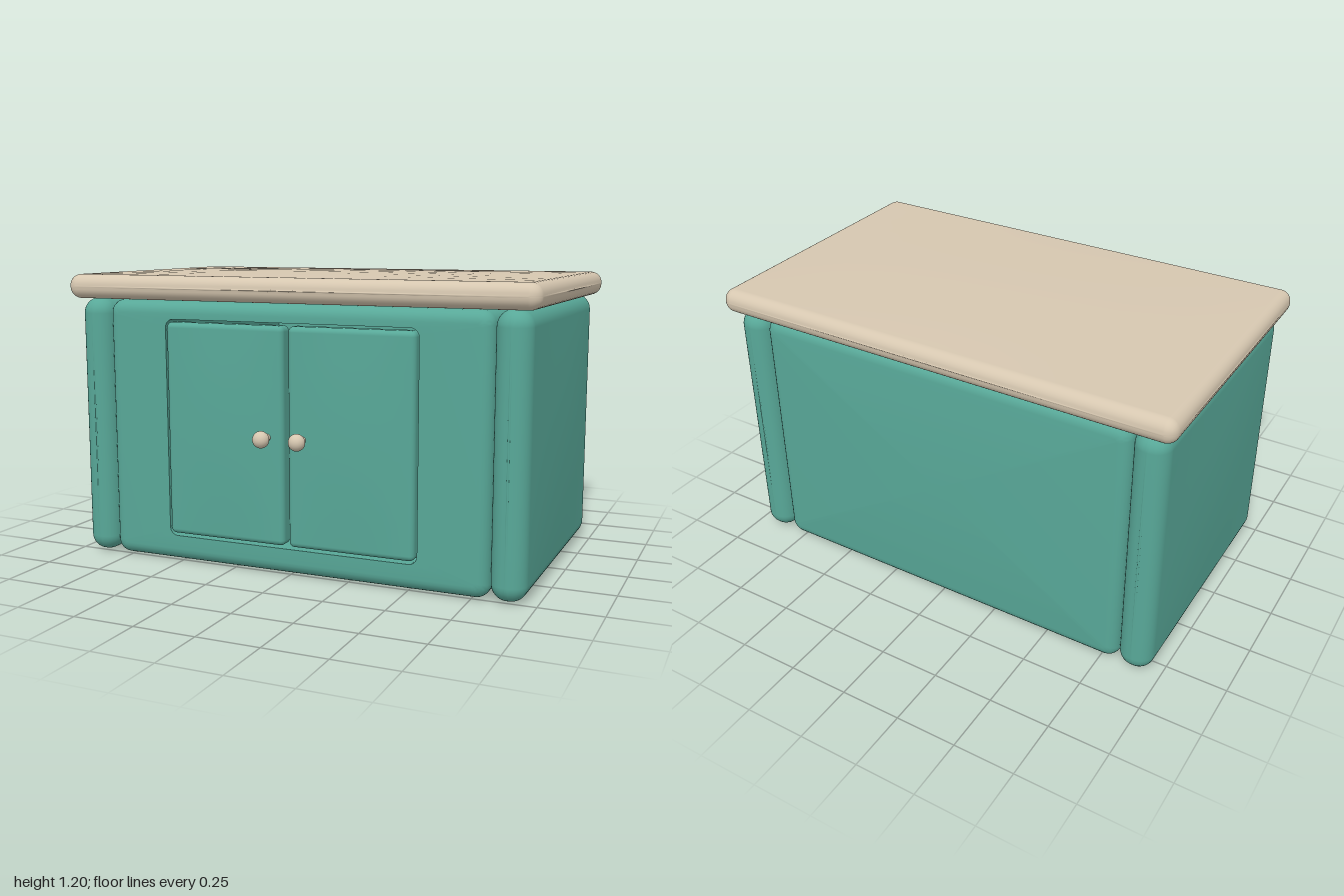
import * as THREE from 'three';
import { mergeVertices, toCreasedNormals } from 'three/addons/utils/BufferGeometryUtils.js';

const teal = new THREE.MeshStandardMaterial({ color: 0x58a898 });
const beige = new THREE.MeshStandardMaterial({ color: 0xd6c7b0 });

// Rounded box with softly swollen faces; half = half sizes, bulge = swell per axis
function cushion(half, r, bulge) {
  const n = 16;
  let geo = new THREE.BoxGeometry(2, 2, 2, n, n, n);
  const pos = geo.attributes.position;
  for (let i = 0; i < pos.count; i++) {
    const t = [pos.getX(i), pos.getY(i), pos.getZ(i)];
    const flat = t.map((v) => THREE.MathUtils.clamp(v * 2, -1, 1));
    const q = t.map((v) => Math.sign(v) * Math.tan(Math.max(0, Math.abs(v) - 0.5) * Math.PI / 2));
    const len = Math.hypot(...q);
    const p = t.map((_, k) => {
      const a = flat[(k + 1) % 3], b = flat[(k + 2) % 3];
      const swell = bulge[k] * (1 - a * a) * (1 - b * b);
      return flat[k] * (half[k] - r) + (q[k] / len) * (r + swell);
    });
    pos.setXYZ(i, ...p);
  }
  geo.deleteAttribute('uv');
  geo.deleteAttribute('normal');
  geo = mergeVertices(geo, 1e-5);
  geo.computeVertexNormals();
  return geo;
}

// Loft through rounded rectangles: [halfWidth, halfHeight, cornerRadius, centreY, z]
function loft(rings) {
  const steps = 8, count = 4 * (steps + 1), verts = [], index = [];
  rings.forEach(([w, h, r, cy, z], j) => {
    for (let c = 0; c < 4; c++) {
      const sx = c === 0 || c === 3 ? 1 : -1, sy = c < 2 ? 1 : -1;
      for (let s = 0; s <= steps; s++) {
        const a = (c + s / steps) * Math.PI / 2;
        verts.push(sx * (w - r) + r * Math.cos(a), cy + sy * (h - r) + r * Math.sin(a), z);
      }
    }
    if (j === 0) return;
    for (let i = 0; i < count; i++) {
      const k = (i + 1) % count, lo = (j - 1) * count, hi = j * count;
      index.push(lo + i, lo + k, hi + k, lo + i, hi + k, hi + i);
    }
  });
  const geo = new THREE.BufferGeometry();
  geo.setAttribute('position', new THREE.Float32BufferAttribute(verts, 3));
  geo.setIndex(index);
  return toCreasedNormals(geo, 0.7);
}

export function createModel() {
  const model = new THREE.Group();
  const add = (name, geo, mat, x, y, z) => {
    const mesh = new THREE.Mesh(geo, mat);
    mesh.name = name;
    mesh.position.set(x, y, z);
    model.add(mesh);
    return mesh;
  };

  // Carcass: closed back, rounded edges, door opening and hollow inside
  const W = 0.82, H = 0.54, R = 0.05, back = -0.59, front = 0.53, cy = 0.55;
  const edge = (a, z0, dir) => {
    const inset = R * (1 - Math.cos(a));
    return [W - inset, H - inset, 0.055 - inset * 0.8, cy, z0 + dir * R * Math.sin(a)];
  };
  const rings = [[0, 0, 0, cy, back]];
  for (let i = 6; i >= 0; i--) rings.push(edge(i * Math.PI / 12, back + R, -1));
  for (let i = 0; i <= 6; i++) rings.push(edge(i * Math.PI / 12, front - R, 1));
  rings.push(
    [0.543, 0.45, 0.035, 0.567, front],
    [0.543, 0.45, 0.035, 0.567, -0.5],
    [0, 0, 0, 0.567, -0.5],
  );
  add('carcass', loft(rings), teal, 0, 0, 0);

  // Inner shelf, just visible through the door gaps
  add('shelf', new THREE.BoxGeometry(1.08, 0.03, 0.96), beige, 0, 0.542, 0);

  // Countertop
  add('countertop', cushion([0.997, 0.05, 0.6], 0.046, [0.003, 0.01, 0.003]), beige, 0, 1.142, -0.032);

  const panel = cushion([0.07, 0.543, 0.57], 0.065, [0.012, 0.004, 0.004]);
  const door = cushion([0.262, 0.438, 0.04], 0.022, [0, 0, 0.01]);
  const ball = new THREE.SphereGeometry(0.034, 24, 16);
  const stem = new THREE.CylinderGeometry(0.015, 0.015, 0.06, 20);
  stem.rotateX(Math.PI / 2);

  // Side panels, doors and knobs, mirrored
  for (const [side, s] of [['left', 1], ['right', -1]]) {
    add(side + 'SidePanel', panel, teal, s * 0.89, 0.552, -0.03);
    add(side + 'Door', door, teal, s * 0.272, 0.568, 0.507);
    add(side + 'KnobStem', stem, beige, s * 0.077, 0.568, 0.56);
    add(side + 'Knob', ball, beige, s * 0.077, 0.568, 0.603).scale.z = 0.93;
  }
  return model;
}
